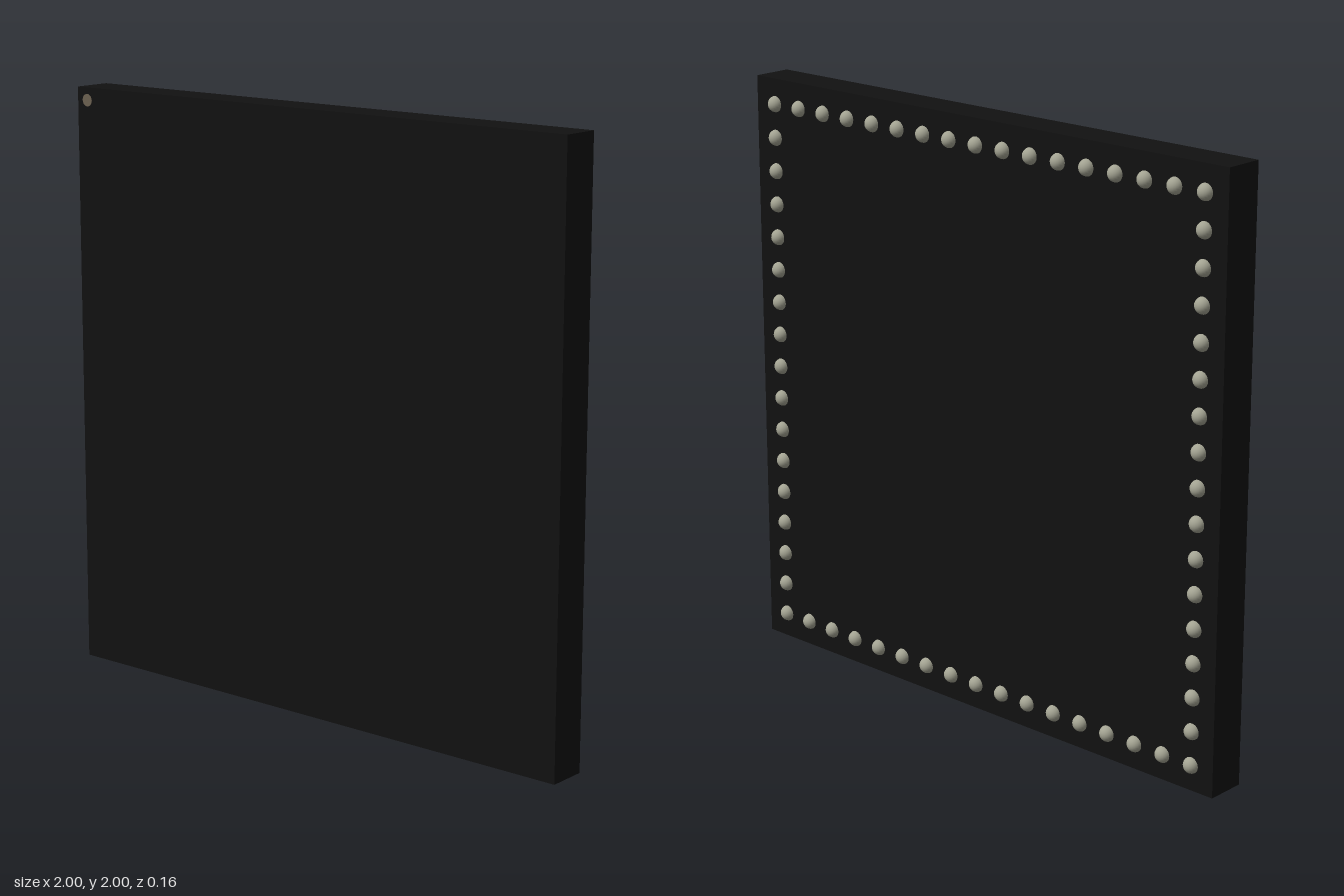
import * as THREE from 'three';

export function createModel() {
  const group = new THREE.Group();
  const front = 0.08, back = -0.055;
  const black = new THREE.MeshStandardMaterial({ color: 0x111111 });
  const solder = new THREE.MeshStandardMaterial({ color: 0xa3a392 });
  const markMaterial = new THREE.MeshStandardMaterial({ color: 0x6e6252 });

  // Square chip package
  const body = new THREE.Mesh(new THREE.BoxGeometry(2, 2, front - back), black);
  body.name = 'packageBody';
  body.position.set(0, 1, (front + back) / 2);
  group.add(body);

  // Small round orientation mark in the corner of the front face
  const mark = new THREE.Mesh(new THREE.CylinderGeometry(0.021, 0.021, 0.004, 24), markMaterial);
  mark.name = 'cornerMark';
  mark.rotation.x = Math.PI / 2;
  mark.position.set(-0.957, 1.957, front - 0.001);
  group.add(mark);

  // Ring of solder balls half sunk in the back face
  const balls = new THREE.Group();
  balls.name = 'solderBalls';
  const count = 17, reach = 0.914, pitch = (2 * reach) / (count - 1);
  const ballGeometry = new THREE.SphereGeometry(0.0275, 20, 14);
  for (let row = 0; row < count; row++) {
    for (let col = 0; col < count; col++) {
      const onEdge = row % (count - 1) === 0 || col % (count - 1) === 0;
      if (!onEdge) continue;
      const ball = new THREE.Mesh(ballGeometry, solder);
      ball.name = 'solderBall';
      ball.position.set(-reach + col * pitch, 1 - reach + row * pitch, -0.0525);
      balls.add(ball);
    }
  }
  group.add(balls);
  return group;
}
